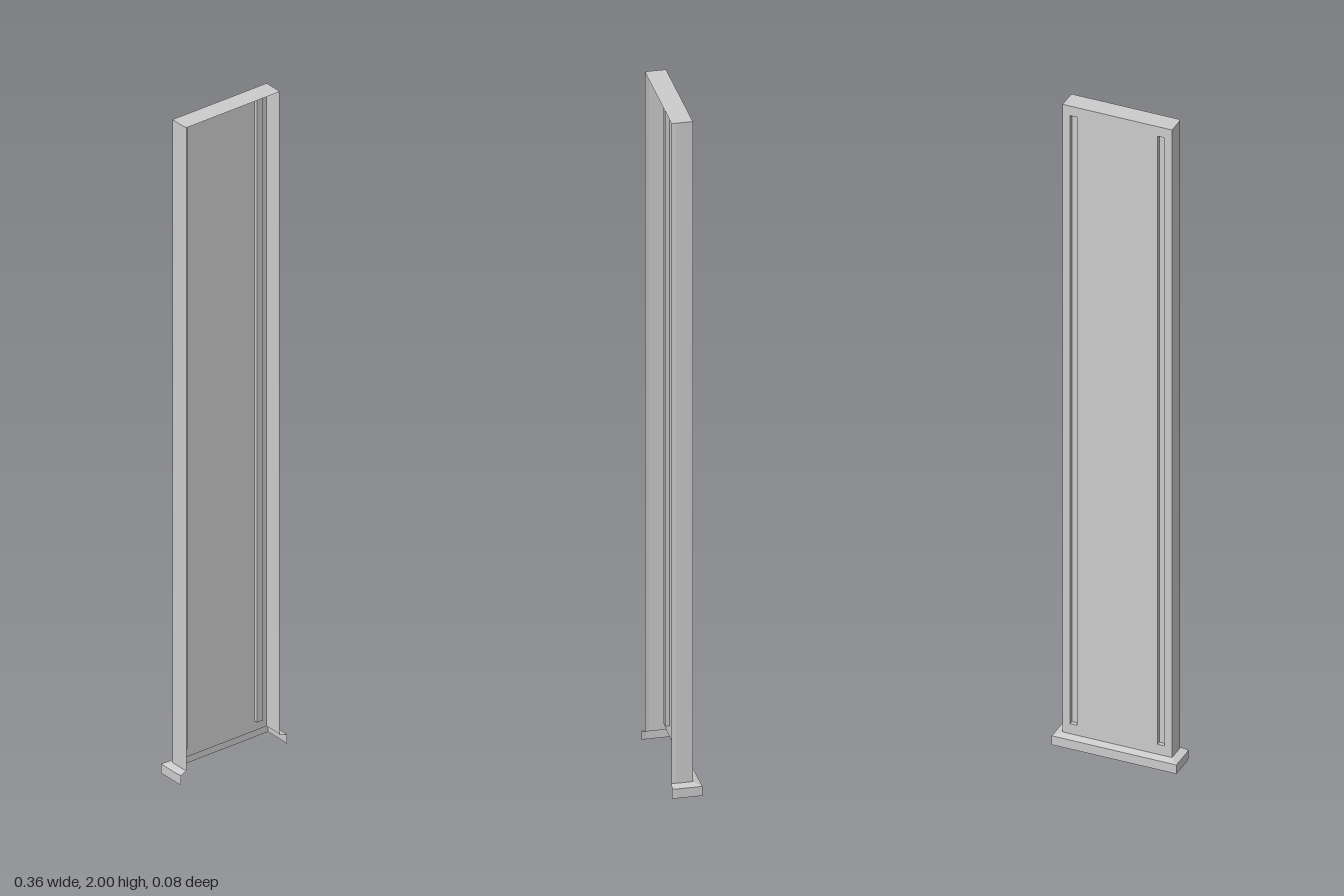
import * as THREE from 'three';

const material = new THREE.MeshStandardMaterial({ color: 0xcccccc, flatShading: true, side: THREE.DoubleSide });

// Section sizes: half width, back z, front z
const SHAFT = { w: 0.16, back: -0.022, front: 0.036 };
const FOOT = { w: 0.182, back: -0.043, front: 0.04 };
const TOP = 2, LEDGE = 0.034, FOOT_TOP = 0.028;

// U-shaped section, open to the front, with slightly turned-in ends
function section({ w, back, front }) {
  const right = [[-w + 0.002, front], [-w, front - 0.012], [-w, back]];
  return [...right, ...right.map(([x, z]) => [-x, z]).reverse()];
}

// Skins a row of sections, each given as [section, height]; skip leaves one span open
function loft(rings, skip = -1) {
  const pos = [], index = [];
  rings.forEach(([pts, y]) => pts.forEach(([x, z]) => pos.push(x, y, z)));
  const n = rings[0][0].length;
  for (let r = 0; r < rings.length - 1; r++) {
    for (let i = 0; i < n - 1; i++) {
      if (i === skip) continue;
      const a = r * n + i, b = a + 1, c = a + n, d = c + 1;
      index.push(a, c, b, b, c, d);
    }
  }
  const g = new THREE.BufferGeometry();
  g.setAttribute('position', new THREE.Float32BufferAttribute(pos, 3));
  g.setIndex(index);
  g.computeVertexNormals();
  return g;
}

function rectangle(Type, x0, y0, x1, y1) {
  const s = new Type();
  s.moveTo(x0, y0);
  s.lineTo(x1, y0);
  s.lineTo(x1, y1);
  s.lineTo(x0, y1);
  s.closePath();
  return s;
}

export function createModel() {
  const group = new THREE.Group();
  const add = (name, geometry) => {
    const mesh = new THREE.Mesh(geometry, material);
    mesh.name = name;
    group.add(mesh);
    return mesh;
  };
  const shaft = section(SHAFT), foot = section(FOOT);

  // Side walls of the shaft; the back span is the fluted panel
  add('sideWalls', loft([[shaft, LEDGE], [shaft, TOP]], 2));

  // Back panel with an opening for each groove
  const groove = { x: 0.128, w: 0.02, y0: 0.065, y1: 1.97, depth: 0.012 };
  const panel = rectangle(THREE.Shape, -SHAFT.w, LEDGE, SHAFT.w, TOP);
  for (const s of [-1, 1]) {
    const x = s * groove.x;
    panel.holes.push(rectangle(THREE.Path, x - groove.w / 2, groove.y0, x + groove.w / 2, groove.y1));

    // Sunken groove: a box without its rear face
    const box = new THREE.BoxGeometry(groove.w, groove.y1 - groove.y0, groove.depth);
    box.setIndex(Array.from(box.index.array).slice(0, 30));
    box.clearGroups();
    add(s > 0 ? 'leftGroove' : 'rightGroove', box)
      .position.set(x, (groove.y0 + groove.y1) / 2, SHAFT.back + groove.depth / 2);
  }
  const back = new THREE.ShapeGeometry(panel);
  back.rotateY(Math.PI);
  back.translate(0, 0, SHAFT.back);
  add('backPanel', back);

  // Top cap
  const cap = new THREE.ShapeGeometry(new THREE.Shape(shaft.map(([x, z]) => new THREE.Vector2(x, -z))));
  cap.rotateX(-Math.PI / 2);
  cap.translate(0, TOP, 0);
  add('topCap', cap);

  // Plinth: upright band and a gently sloping ledge up to the shaft
  add('plinth', loft([[foot, 0], [foot, FOOT_TOP], [shaft, LEDGE]]));

  return group;
}
